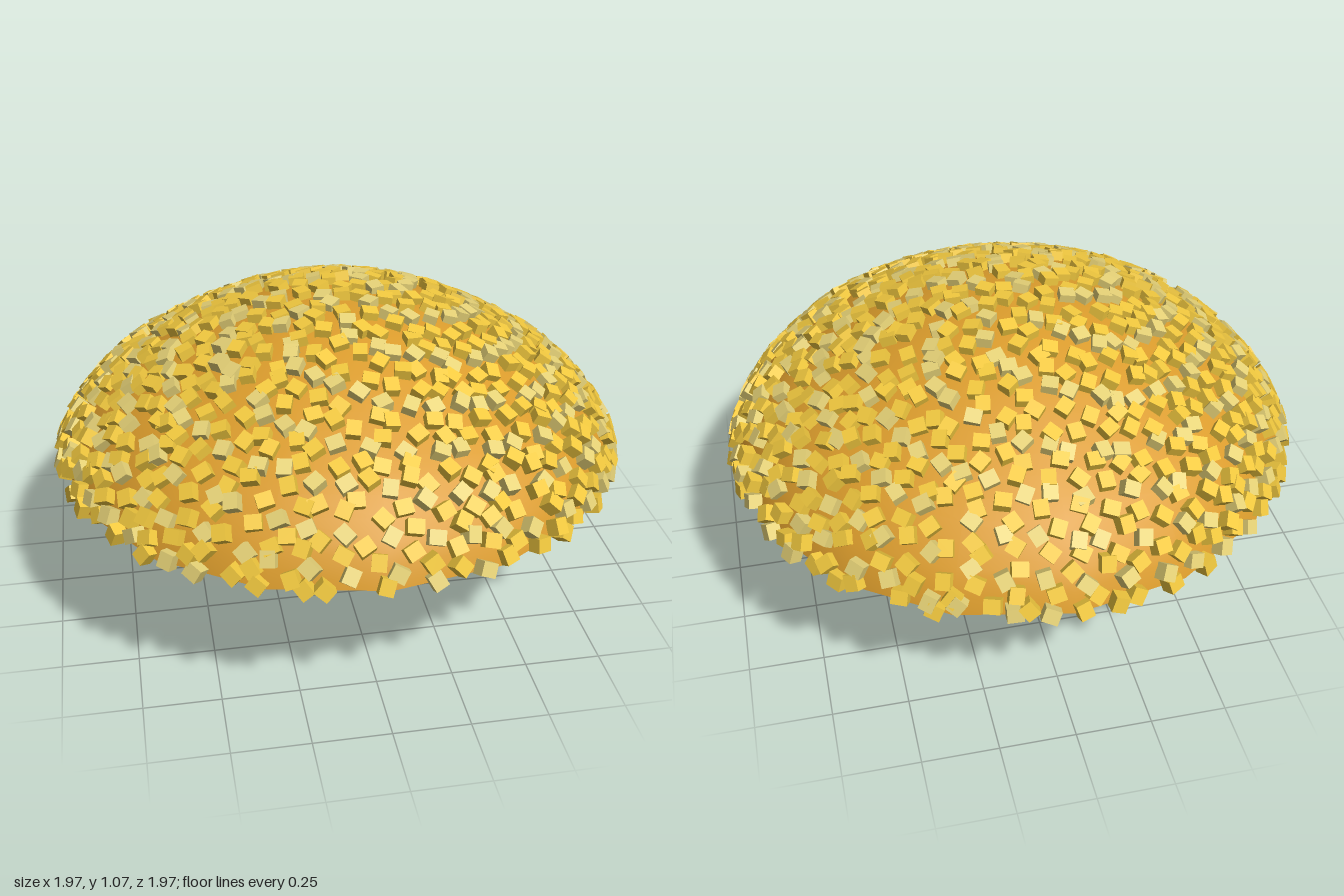
import * as THREE from 'three';
import { mergeGeometries } from 'three/addons/utils/BufferGeometryUtils.js';

const BASE = 0.5; // height of the dome's flat underside
const SIDES = 16;

// seeded random numbers
function makeRandom(seed) {
  return () => {
    seed = (seed * 1664525 + 1013904223) % 4294967296;
    return seed / 4294967296;
  };
}

function addMesh(group, name, geometry, color) {
  const mesh = new THREE.Mesh(geometry, new THREE.MeshStandardMaterial({ color }));
  mesh.name = name;
  group.add(mesh);
  return mesh;
}

// thin straight rod between two points
function strand(a, b, radius = 0.0022) {
  return new THREE.TubeGeometry(new THREE.LineCurve3(a, b), 1, radius, 4, false);
}

function turnedBox(size, position, normal, spin) {
  const q = new THREE.Quaternion().setFromUnitVectors(new THREE.Vector3(0, 1, 0), normal);
  q.multiply(new THREE.Quaternion().setFromAxisAngle(new THREE.Vector3(0, 1, 0), spin));
  const matrix = new THREE.Matrix4().compose(position, q, size);
  return new THREE.BoxGeometry(1, 1, 1).applyMatrix4(matrix);
}

export function createModel() {
  const model = new THREE.Group();
  const random = makeRandom(7);
  const jitter = (amount) => (random() - 0.5) * 2 * amount;

  // dome shell and its flat underside
  const curve = new THREE.SplineCurve([
    [0.95, 0.5], [0.93, 0.56], [0.88, 0.635], [0.79, 0.73], [0.7, 0.79],
    [0.58, 0.86], [0.42, 0.94], [0.2, 1.013], [0, 1.035],
  ].map(([r, y]) => new THREE.Vector2(r, y)));
  const profile = curve.getSpacedPoints(16);
  profile[16].x = 0;
  addMesh(model, 'dome', new THREE.LatheGeometry(profile, SIDES), 0xdb9c2c);
  const underside = new THREE.CircleGeometry(0.95, SIDES).rotateX(Math.PI / 2).translate(0, BASE, 0);
  addMesh(model, 'underside', underside, 0xdb9c2c);

  // cubes spread evenly over the dome by area, each spun and tilted a little
  const steps = 200;
  const fine = curve.getSpacedPoints(steps);
  const area = [0];
  for (let i = 0; i < steps; i++) area.push(area[i] + (fine[i].x + fine[i + 1].x) / 2);
  const colors = [0xf2c93f, 0xf2c93f, 0xe6d277];
  const cubes = colors.map(() => []);
  const count = 800;
  let k = 0;
  for (let i = 0; i < count; i++) {
    const target = ((i + 0.6) / count) * area[steps];
    while (k < steps - 1 && area[k + 1] < target) k++;
    const p = fine[k];
    const tangent = fine[k + 1].clone().sub(p).normalize();
    const angle = i * 2.39996 + jitter(0.03 / Math.max(p.x, 0.1));
    const c = Math.cos(angle), s = Math.sin(angle);
    const slide = jitter(0.015);
    const r = Math.max(p.x + tangent.x * slide + tangent.y * 0.005, 0);
    const y = Math.max(p.y + tangent.y * slide - tangent.x * 0.005, BASE + 0.015);
    const normal = new THREE.Vector3(
      tangent.y * c + jitter(0.15), -tangent.x + jitter(0.15), tangent.y * s + jitter(0.15),
    ).normalize();
    const size = new THREE.Vector3(0.052, 0.045, 0.046);
    cubes[i % 3].push(turnedBox(size, new THREE.Vector3(r * c, y, r * s), normal, random() * 6.28));
  }

  // inner ring of cubes that just break through the underside
  for (let i = 0; i < 22; i++) {
    const angle = (i / 22) * Math.PI * 2 + jitter(0.12);
    const normal = new THREE.Vector3(Math.cos(angle), 0.25 + jitter(0.3), Math.sin(angle)).normalize();
    const position = new THREE.Vector3(Math.cos(angle), 0, Math.sin(angle)).multiplyScalar(0.49 + jitter(0.015));
    position.y = BASE + 0.009;
    cubes[i % 3].push(turnedBox(new THREE.Vector3(0.025, 0.022, 0.025), position, normal, random() * 6.28));
  }
  cubes.forEach((list, i) => addMesh(model, 'cubes' + (i + 1), mergeGeometries(list), colors[i]));

  // triangular web: six spokes and three sagging rings
  const corners = [[0, 0, 0], [0.5, 0.5, 0], [0, 0.5, -0.5]].map((p) => new THREE.Vector3(...p));
  const hub = new THREE.Vector3(1 / 6, 1 / 3, -1 / 6);
  const ends = [];
  corners.forEach((corner, i) => {
    ends.push(corner, corner.clone().lerp(corners[(i + 1) % 3], 0.5));
  });
  const strands = ends.map((end) => strand(hub, end));
  for (const t of [0.86, 0.58, 0.32]) {
    const ring = ends.map((end, i) => hub.clone().lerp(end, i % 2 ? t * 0.92 : t));
    ring.forEach((p, i) => strands.push(strand(p, ring[(i + 1) % 6])));
  }
  addMesh(model, 'web', mergeGeometries(strands), 0x555555);

  // rounded grey body hanging just below the underside
  const body = addMesh(model, 'hangingBody', new THREE.SphereGeometry(1, 16, 8), 0xb0a898);
  body.scale.set(0.06, 0.03, 0.09);
  body.position.set(0.04, BASE - 0.002, -0.16);
  body.rotation.y = 0.6;

  // dark slats set into the underside
  const slats = [
    [[0.02, -0.21], [0.44, 0.035]],
    [[-0.185, -0.08], [0.03, 0.24]],
    [[0.08, 0.31], [0.02, 0.48], 0.25],
  ].map(([[x, z], [w, d], turn = 0]) =>
    new THREE.BoxGeometry(w, 0.01, d).rotateY(turn).translate(x, BASE, z));
  addMesh(model, 'undersideSlats', mergeGeometries(slats), 0x4a3018);

  return model;
}
